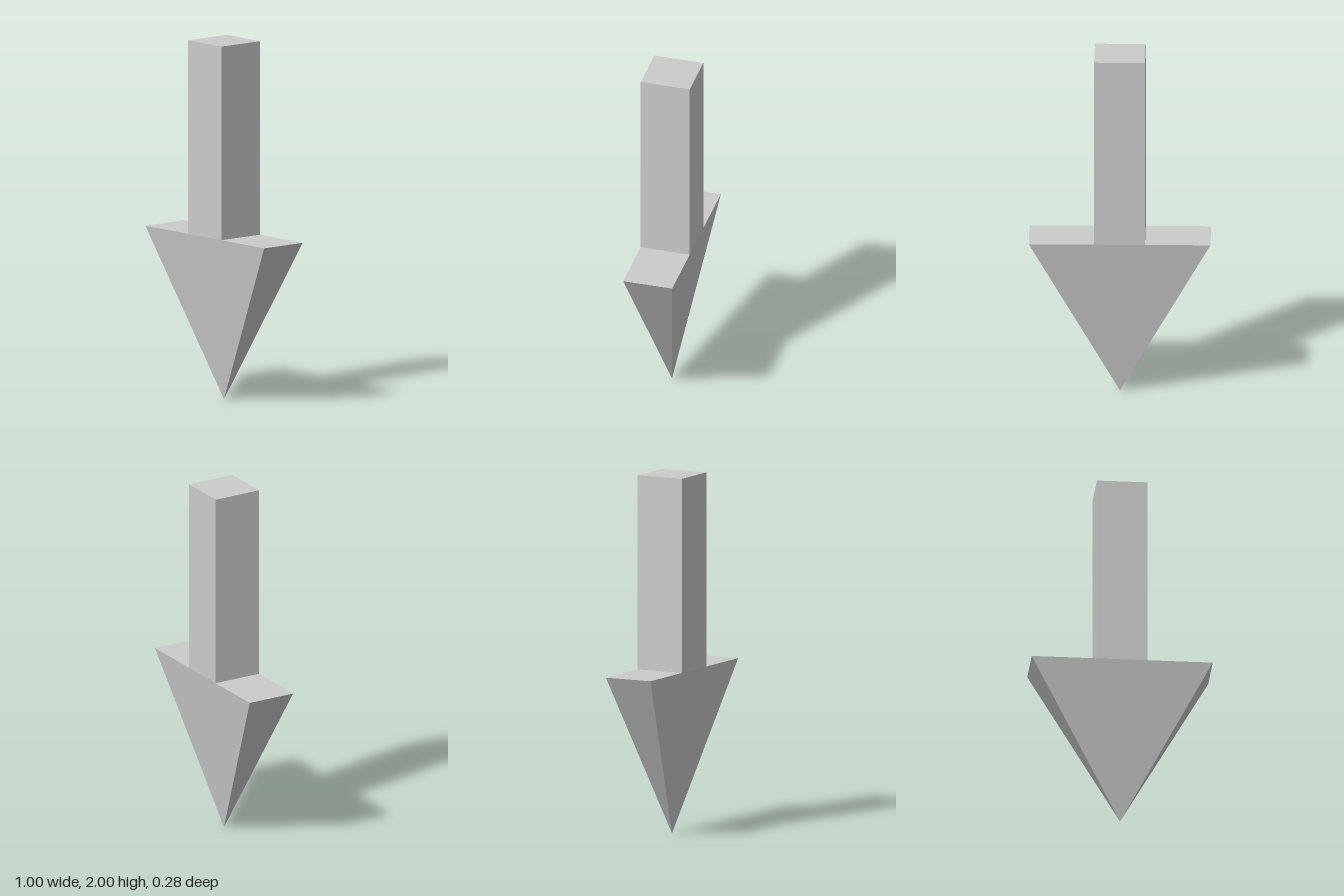
import * as THREE from 'three';

export function createModel() {
  const group = new THREE.Group();
  const material = new THREE.MeshStandardMaterial({ color: 0xcccccc, flatShading: true });
  const thickness = 0.28, headWidth = 1, headHeight = 0.92, totalHeight = 2;

  // Square shaft standing on the head
  const shaftHeight = totalHeight - headHeight;
  const shaft = new THREE.Mesh(new THREE.BoxGeometry(thickness, shaftHeight, thickness), material);
  shaft.name = 'shaft';
  shaft.position.y = headHeight + shaftHeight / 2;
  group.add(shaft);

  // Arrowhead: four-sided pyramid, point down, squeezed to the shaft's thickness
  let pyramid = new THREE.ConeGeometry(Math.SQRT1_2, headHeight, 4);
  pyramid.rotateY(Math.PI / 4).rotateX(Math.PI).scale(headWidth, 1, thickness);
  pyramid = pyramid.toNonIndexed();
  pyramid.computeVertexNormals();
  const head = new THREE.Mesh(pyramid, material);
  head.name = 'arrowhead';
  head.position.y = headHeight / 2;
  group.add(head);

  return group;
}
